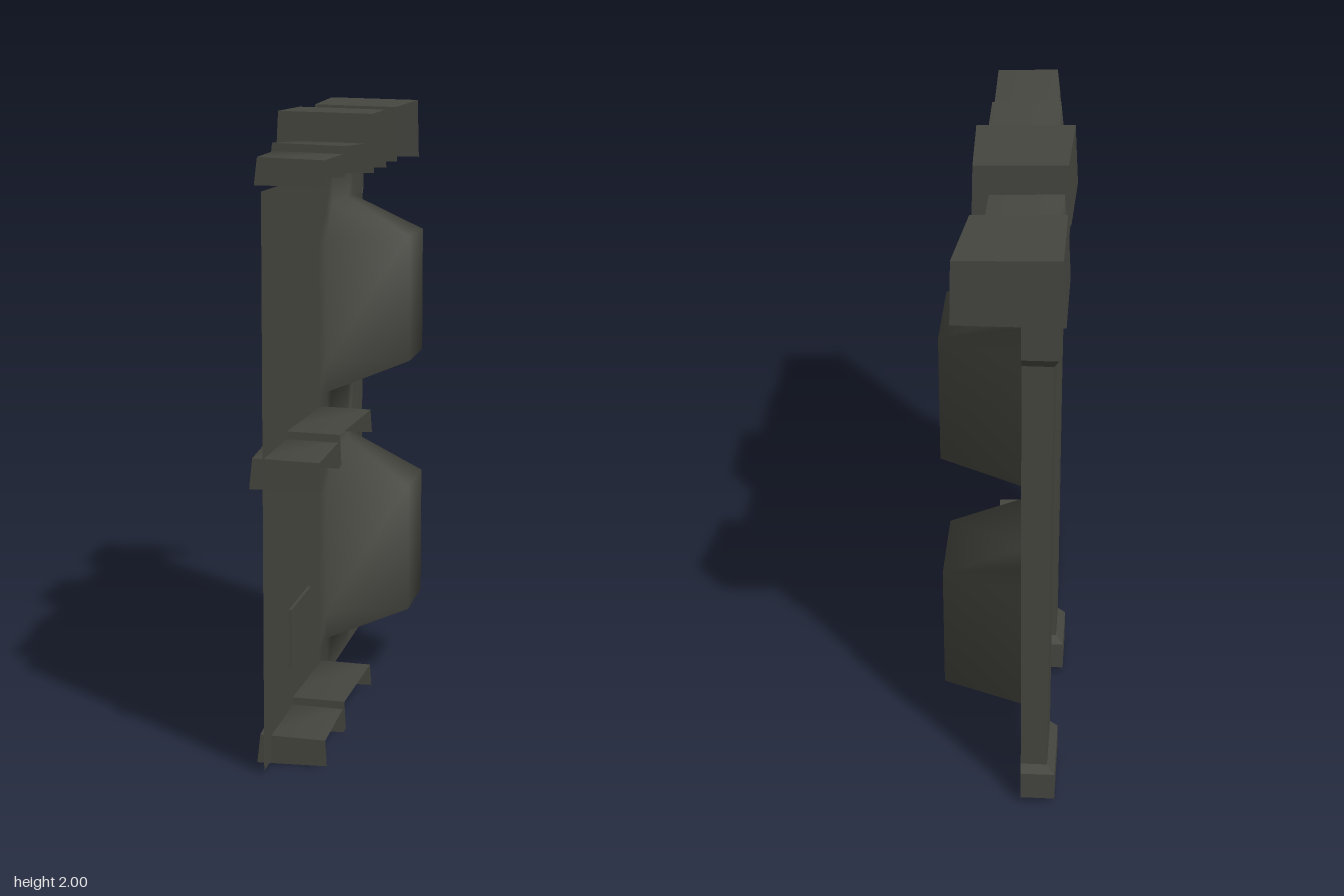
import * as THREE from 'three';

const metal = new THREE.MeshStandardMaterial({ color: 0x45463f, side: THREE.DoubleSide });
metal.name = 'dark olive metal';

// Surface through rows of points; smooth unless flat is set
function sheet(rows, flat = false) {
  const n = rows[0].length, index = [];
  for (let r = 0; r < rows.length - 1; r++) {
    for (let c = 0; c < n - 1; c++) {
      const a = r * n + c, b = a + 1, d = a + n, e = d + 1;
      index.push(a, b, e, a, e, d);
    }
  }
  let geo = new THREE.BufferGeometry();
  geo.setAttribute('position', new THREE.Float32BufferAttribute(rows.flat(2), 3));
  geo.setIndex(index);
  if (flat) geo = geo.toNonIndexed();
  geo.computeVertexNormals();
  return geo;
}

function add(parent, name, geo) {
  const mesh = new THREE.Mesh(geo, metal);
  mesh.name = name;
  parent.add(mesh);
  return mesh;
}

// Folded cover, open below and towards +x. Each end: { z, y0, y1, back, front }
function cover(parent, name, ends, flat) {
  const group = new THREE.Group();
  group.name = name;
  const rows = ends.map(({ z, y0, y1, back, front }) => [
    [back, y0, z], [back + 0.01, y1, z], [front, y1 - 0.008, z],
  ]);
  add(group, name + 'Shell', sheet(rows, flat));
  ends.forEach(({ z, y0, front }, i) => {
    const [low, high, tip] = rows[i];
    add(group, name + 'End', sheet([[low, [front + 0.005, y0, z]], [high, tip]], true));
  });
  parent.add(group);
}

export function createModel() {
  const model = new THREE.Group();
  model.name = 'wallSection';

  // Flat panel and its small hatch
  const panel = add(model, 'flatPanel', new THREE.PlaneGeometry(0.885, 1.77).rotateY(Math.PI / 2));
  panel.position.set(-0.07, 0.895, 0.4425);
  const hatch = add(model, 'hatch', new THREE.BoxGeometry(0.02, 0.19, 0.31));
  hatch.position.set(-0.07, 0.325, 0.355);

  // Bulged panel: two raised, flat-topped swellings
  const levels = [
    [0.02, 0], [0.15, 0], [0.24, 1], [0.68, 1], [0.79, 0],
    [1.02, 0], [1.12, 1], [1.55, 1], [1.66, 0], [1.78, 0],
  ];
  const columns = [[0, 0], [-0.14, 0], [-0.25, 1], [-0.55, 1], [-0.66, 0], [-0.85, 0]];
  add(model, 'bulgedPanel', sheet(levels.map(([y, up]) =>
    columns.map(([z, out]) => [-0.07 + 0.27 * up * out, y, z]))));

  // Posts with flared feet and heads, behind the bulged panel
  const profile = [
    [0.02, -0.18, 0.015], [0.12, -0.18, 0.015], [0.15, -0.155, 0],
    [1.12, -0.16, 0.005], [1.64, -0.165, 0], [1.67, -0.18, 0.02], [1.79, -0.185, 0.02],
  ];
  for (const [name, zA, zB] of [['endPost', -0.85, -0.63], ['middlePost', -0.16, 0]]) {
    add(model, name, sheet(profile.map(([y, x, f]) => [
      [-0.07, y, zA - f], [x, y, zA - f], [x, y, zB + f], [-0.07, y, zB + f],
    ]), true));
  }

  // Post caps
  cover(model, 'endCap', [
    { z: -0.56, y0: 1.785, y1: 1.985, back: -0.2, front: 0.1 },
    { z: -0.88, y0: 1.785, y1: 2.0, back: -0.2, front: 0.13 },
  ], true);
  cover(model, 'middleCap', [
    { z: 0.075, y0: 1.785, y1: 1.985, back: -0.2, front: 0.125 },
    { z: -0.23, y0: 1.785, y1: 1.988, back: -0.19, front: 0.115 },
  ], true);

  // Beam between the caps
  cover(model, 'topBeam', [
    { z: -0.2, y0: 1.785, y1: 1.89, back: -0.18, front: 0.065 },
    { z: -0.58, y0: 1.785, y1: 1.89, back: -0.155, front: 0.07 },
  ]);

  // Rails over the flat panel, each of two overlapping lengths
  const rails = [
    ['topRail', 0.78, 0.45, 1.79, 0.085],
    ['middleRail', 0.87, 0.53, 0.885, 0.095],
    ['bottomRail', 0.78, 0.45, 0.0, 0.09],
  ];
  for (const [name, zFar, zStep, y, h] of rails) {
    cover(model, name + 'Outer', [
      { z: zFar, y0: y, y1: y + h, back: -0.115, front: 0.1 },
      { z: zStep, y0: y + 0.005, y1: y + h, back: -0.135, front: 0.095 },
    ]);
    cover(model, name + 'Inner', [
      { z: zStep, y0: y + 0.015, y1: y + h + 0.025, back: -0.14, front: 0.1 },
      { z: -0.04, y0: y + 0.02, y1: y + h + 0.01, back: -0.13, front: 0.1 },
    ]);
  }
  return model;
}
